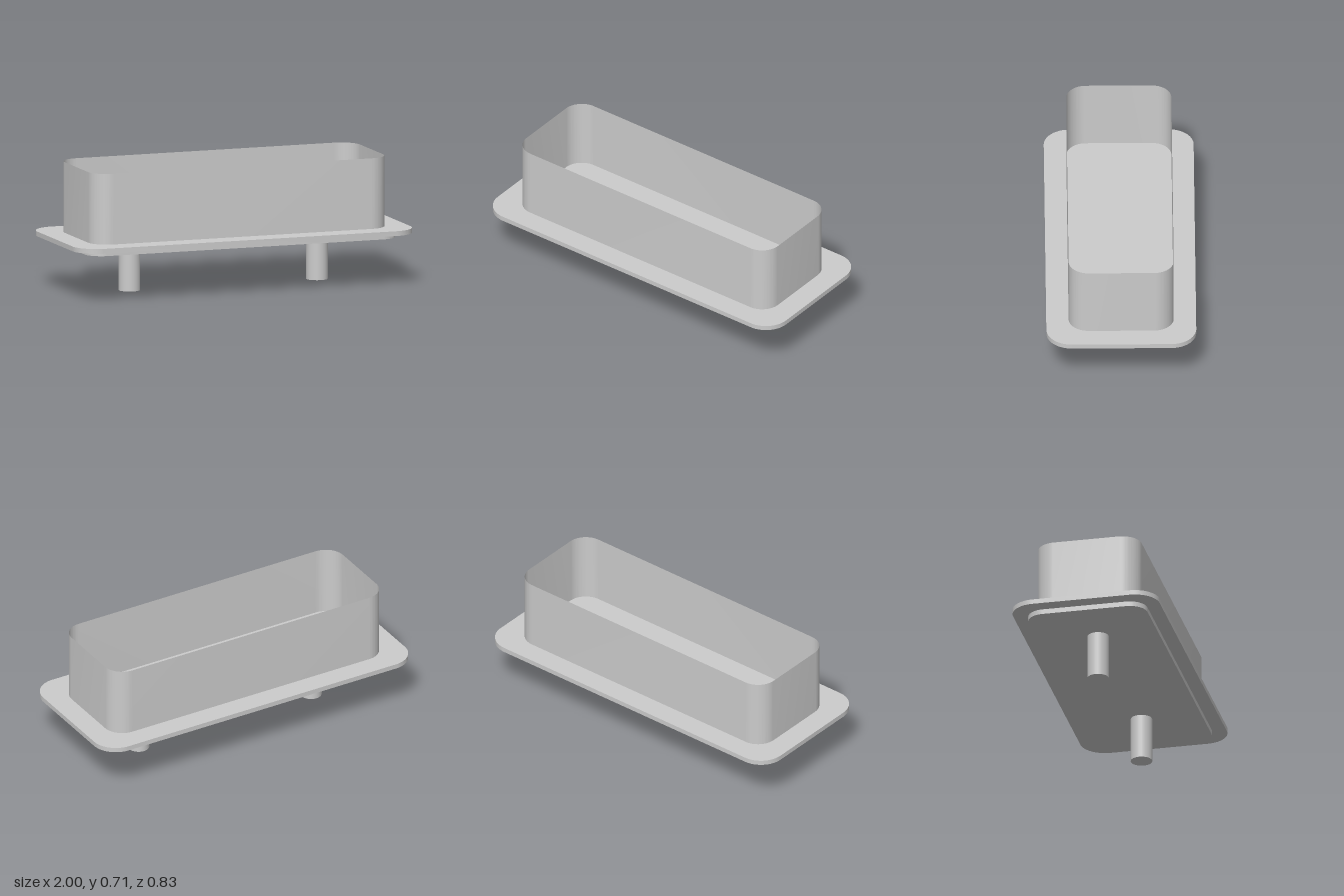
import * as THREE from 'three';
import { toCreasedNormals } from 'three/addons/utils/BufferGeometryUtils.js';

const CORNER_SEGMENTS = 12;

// Rounded rectangle centred on the origin, half sizes hx and hz
function roundedRect(hx, hz, r) {
  const s = new THREE.Shape();
  s.absarc(hx - r, hz - r, r, 0, Math.PI / 2);
  s.absarc(-hx + r, hz - r, r, Math.PI / 2, Math.PI);
  s.absarc(-hx + r, -hz + r, r, Math.PI, Math.PI * 1.5);
  s.absarc(hx - r, -hz + r, r, Math.PI * 1.5, Math.PI * 2);
  s.closePath();
  return s;
}

// Solid slab lying flat between two heights
function slab(hx, hz, r, y0, y1) {
  const g = new THREE.ExtrudeGeometry(roundedRect(hx, hz, r), {
    depth: y1 - y0, bevelEnabled: false, curveSegments: CORNER_SEGMENTS,
  });
  g.rotateX(-Math.PI / 2).translate(0, y0, 0);
  return toCreasedNormals(g, 0.5);
}

// Upright wall without thickness, open above and below
function wall(hx, hz, r, y0, y1) {
  const outline = roundedRect(hx, hz, r).getPoints(CORNER_SEGMENTS);
  const n = outline.length;
  const g = new THREE.PlaneGeometry(1, 1, n - 1, 1);
  const pos = g.attributes.position;
  for (let i = 0; i < n; i++) {
    const p = outline[i];
    pos.setXYZ(i, p.x, y1, -p.y);
    pos.setXYZ(n + i, p.x, y0, -p.y);
  }
  return toCreasedNormals(g, 0.5);
}

export function createModel() {
  const group = new THREE.Group();
  const solid = new THREE.MeshStandardMaterial({ color: 0xcccccc });
  const thin = new THREE.MeshStandardMaterial({ color: 0xcccccc, side: THREE.DoubleSide });

  const add = (name, geometry, material = solid) => {
    const mesh = new THREE.Mesh(geometry, material);
    mesh.name = name;
    group.add(mesh);
    return mesh;
  };

  // Stepped base: wide flange over a smaller plate
  add('flange', slab(1, 0.415, 0.14, 0.283, 0.31));
  add('lowerPlate', slab(0.917, 0.337, 0.1, 0.255, 0.283));

  // Open-topped tray wall, with the flange as its floor
  add('trayWall', wall(0.873, 0.291, 0.11, 0.31, 0.706), thin);

  // Two round pegs the model stands on
  const peg = new THREE.CylinderGeometry(0.06, 0.06, 0.255, 32);
  for (const [name, x] of [['rightPeg', -0.56], ['leftPeg', 0.55]]) {
    add(name, peg).position.set(x, 0.1275, 0);
  }

  return group;
}
